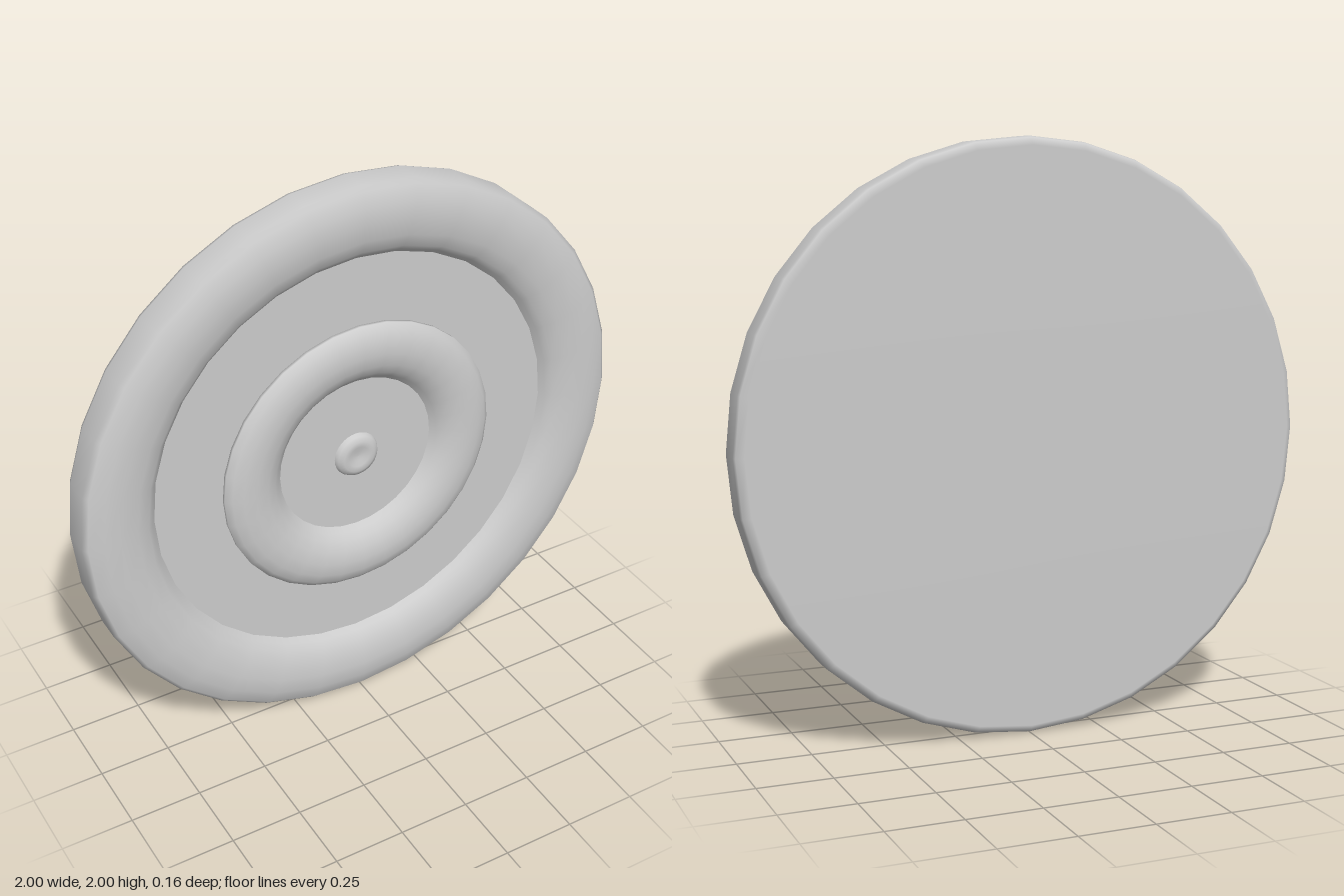
import * as THREE from 'three';

const SEGMENTS = 32;

// Turn a [radius, depth] profile around the z axis; profiles run from back to front, then inward.
function turned(name, profile) {
  const points = profile.map(([r, z]) => new THREE.Vector2(r, z));
  const geometry = new THREE.LatheGeometry(points, SEGMENTS).rotateX(Math.PI / 2);
  const mesh = new THREE.Mesh(geometry, new THREE.MeshStandardMaterial({ color: 0xcccccc }));
  mesh.name = name;
  mesh.position.y = 1;
  return mesh;
}

export function createModel() {
  const model = new THREE.Group();
  model.name = 'ringedDisc';
  const floor = 0.018;

  // Smooth back, edge and broad rounded rim
  model.add(turned('bodyAndRim', [
    [0, -0.078], [0.97, -0.078], [0.995, -0.06], [1, -0.045], [1, 0.045],
    [0.985, 0.06], [0.935, 0.077], [0.88, 0.08], [0.82, 0.073],
    [0.775, 0.055], [0.755, 0.036], [0.74, floor],
  ]));

  // Flat recessed face
  model.add(turned('recessedFace', [[0.742, floor], [0, floor]]));

  // Raised ring between the rim and the centre
  model.add(turned('innerRing', [
    [0.485, floor], [0.505, 0.033], [0.505, 0.045], [0.485, 0.062], [0.45, 0.075],
    [0.405, 0.078], [0.36, 0.071], [0.325, 0.054], [0.305, 0.036], [0.288, floor],
  ]));

  // Small centre stud with a shallow dimple
  model.add(turned('centreStud', [
    [0.082, floor], [0.075, 0.032], [0.058, 0.041], [0.038, 0.04], [0.02, 0.034], [0, 0.033],
  ]));

  return model;
}
